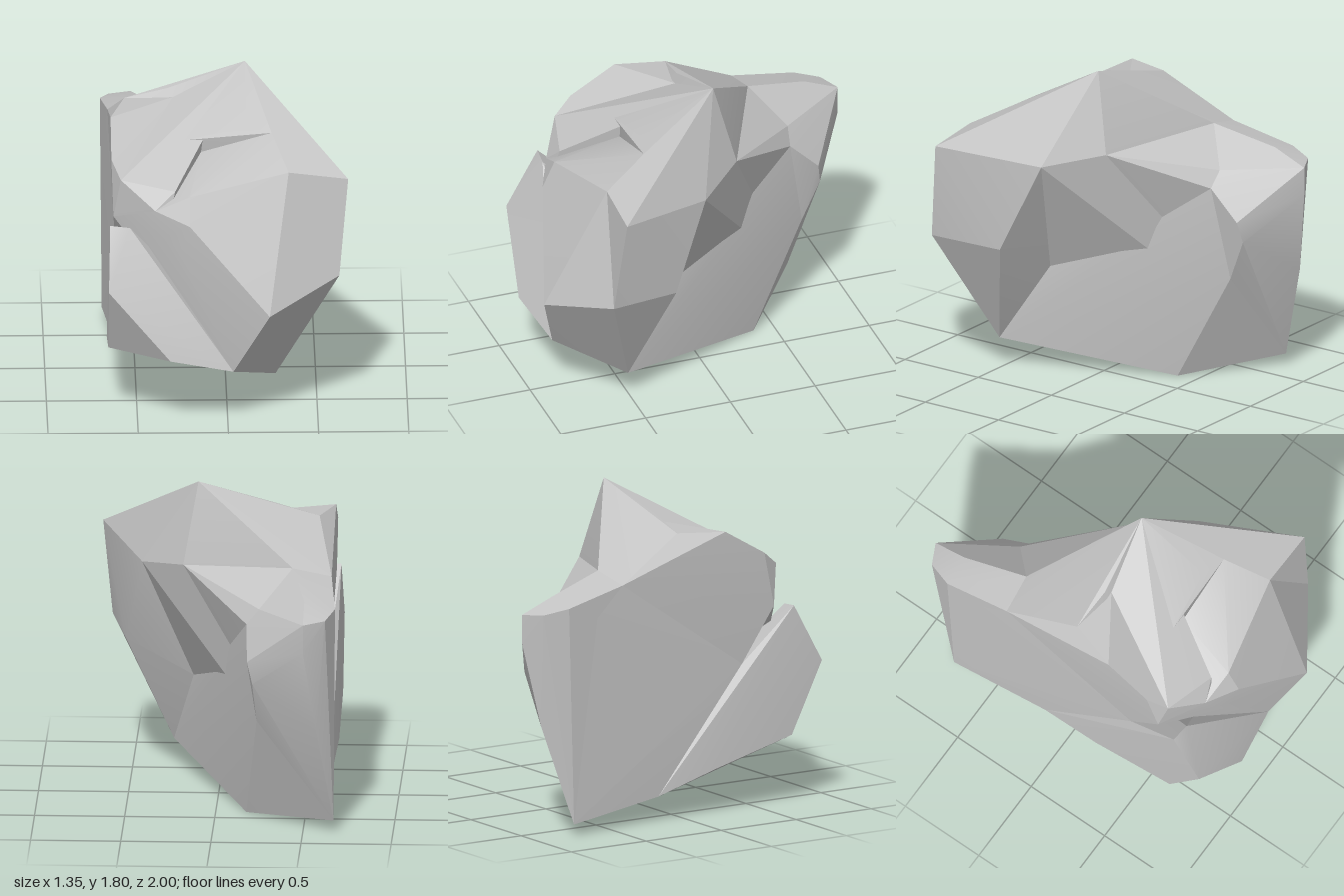
import * as THREE from 'three';
import { ConvexGeometry } from 'three/addons/geometries/ConvexGeometry.js';
import { toCreasedNormals } from 'three/addons/utils/BufferGeometryUtils.js';

const p = (x, y, z) => new THREE.Vector3(x, y, z);

// Corners shared by several chunks of the boulder
const peak = p(0.11, 1.81, -0.04);
const ridge = p(-0.29, 1.63, 0.04);
const crownLeft = p(-0.56, 1.61, 0);
const saddle = p(-0.43, 1.43, -0.44);
const shoulder = p(0.19, 1.36, -0.15);
const overhang = p(0.43, 1.3, 0.12);
const flank = p(0.53, 0.8, 0.33);
const rearShoulder = p(-0.18, 1.15, -0.6);
const rearRim = p(-0.25, 1.24, -0.61);
const hollow = p(0.15, 0.61, 0.26);
const heart = p(-0.3, 1.2, 0.1);
const leftRim = p(-0.645, 1.38, -0.42);
const leftBack = p(-0.67, 1.29, -0.78);
const rearEdge = p(-0.58, 0.63, -0.92);
const spurTip = p(-0.24, 0.62, -0.69);
const footBack = p(-0.67, 0.07, -0.76);
const footBottom = p(-0.17, 0.005, -0.38);
const footRight = p(0.27, 0.17, 0.52);
const footFront = p(0.03, 0.32, 0.88);
const stepFoot = p(-0.63, 0.15, -0.17);
const templeTip = p(-0.59, 1.37, 0.64);
const lipLeft = p(-0.63, 1.14, 0.6);
const lipTop = p(-0.4, 1.23, 0.76);
const lipBottom = p(-0.35, 1.08, 0.78);
const cleft = p(-0.61, 0.83, 0.4);
const cheekRight = p(0.34, 1.42, 0.67);
const cheekLow = p(0.62, 0.83, 0.73);
const browLeft = p(-0.23, 1.52, 0.42);
const browRight = p(0.25, 1.56, 0.42);
const browInner = p(-0.14, 1.45, 0.42);
const browFoot = p(-0.29, 1.33, 0.72);

// Each chunk is a faceted convex block; overlapping them leaves the clefts and hollows
const chunks = {
  crown: [peak, shoulder, overhang, saddle, leftRim, crownLeft, ridge, hollow, cleft, footBack,
    p(-0.32, 1.675, 0.02)],
  middle: [shoulder, saddle, leftRim, rearRim, rearShoulder, hollow, leftBack, footBack, cleft],
  lowerBody: [footRight, hollow, footBottom, rearShoulder, spurTip, rearEdge, footBack,
    leftBack, leftRim, cleft, stepFoot],
  cheek: [browInner, browRight, cheekRight, cheekLow, overhang, flank, hollow, heart, lipLeft,
    lipTop, lipBottom, footRight, footFront, p(-0.28, 1.3, 0.74), p(0.23, 0.69, 1.0),
    p(-0.21, 1.32, 0.78), p(-0.21, 1.17, 0.85), p(-0.26, 1.01, 0.82)],
  rightBrow: [peak, browRight, cheekRight, cheekLow, overhang, flank, hollow, p(0.67, 1.38, 0.67)],
  foreheadMiddle: [peak, ridge, browLeft, browRight, browInner, hollow, heart, p(0.11, 1.58, 0.38)],
  foreheadLeft: [peak, ridge, browLeft, browFoot, templeTip, lipTop, lipBottom, lipLeft, heart],
  temple: [ridge, crownLeft, saddle, leftRim, templeTip, lipLeft, cleft,
    p(-0.64, 1.6, 0.27), p(-0.64, 1.45, 0.53)],
  lowerWedge: [footBottom, footRight, footFront, stepFoot, cleft,
    p(-0.65, 1.13, 0.72), p(-0.54, 1.12, 0.73), p(-0.66, 0.8, 0.9),
    p(-0.66, 0.4, 0.7), p(-0.66, 0.27, 0.2), p(-0.32, 0.41, 0.95)],
  rearSpur: [saddle, rearRim, rearShoulder, leftRim, rearEdge, spurTip, footBack,
    p(-0.68, 1.3, -0.8), p(-0.63, 1.27, -0.94), p(-0.51, 1.26, -1), p(-0.51, 1.1, -1),
    p(-0.51, 1.34, -0.8), p(-0.19, 0.98, -0.77), p(-0.22, 0.86, -0.79)],
};

export function createModel() {
  const model = new THREE.Group();
  model.name = 'boulder';
  const stone = new THREE.MeshStandardMaterial({ color: 0xc2c2c2 });
  stone.name = 'grey stone';

  for (const [name, points] of Object.entries(chunks)) {
    // Slight bends blend smoothly, strong ones stay sharp
    const mesh = new THREE.Mesh(toCreasedNormals(new ConvexGeometry(points), 0.35), stone);
    mesh.name = name;
    model.add(mesh);
  }
  return model;
}
